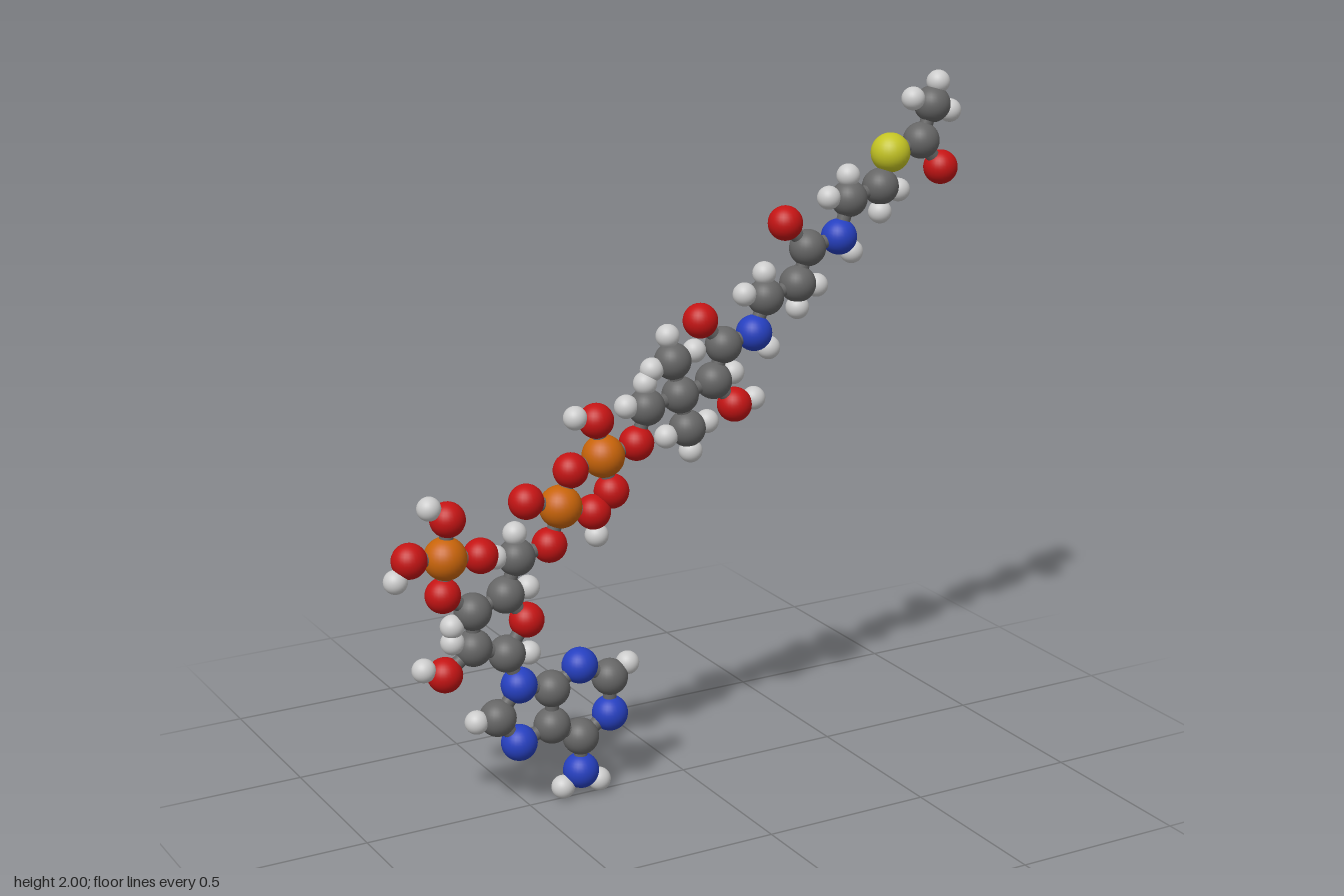
import * as THREE from 'three';

// element: [radius, color]
const ELEMENTS = {
  H: ['hydrogen', 0.034, 0xcccccc],
  C: ['carbon', 0.053, 0x666666],
  N: ['nitrogen', 0.052, 0x2640c0],
  O: ['oxygen', 0.05, 0xc41414],
  P: ['phosphorus', 0.061, 0xc8640a],
  S: ['sulfur', 0.057, 0xc4c424],
};

// Flat molecule: [element, x, y]; the first atom of a part joins it to its neighbours
const PARTS = {
  doubleRingBase: [
    ['N', -0.527, 0.378], ['C', -0.595, 0.292], ['H', -0.66, 0.292], ['N', -0.53, 0.204],
    ['C', -0.426, 0.236], ['C', -0.426, 0.347], ['N', -0.336, 0.4], ['C', -0.241, 0.347],
    ['H', -0.183, 0.379], ['N', -0.241, 0.236], ['C', -0.336, 0.183], ['N', -0.336, 0.078],
    ['H', -0.394, 0.038], ['H', -0.278, 0.038],
  ],
  sugarRing: [
    ['O', -0.5, 0.568], ['C', -0.563, 0.479], ['H', -0.495, 0.469], ['C', -0.664, 0.516],
    ['H', -0.727, 0.542], ['O', -0.752, 0.452], ['H', -0.815, 0.477], ['C', -0.664, 0.622],
    ['H', -0.727, 0.589], ['C', -0.563, 0.654], ['H', -0.495, 0.664], ['C', -0.528, 0.758],
    ['H', -0.532, 0.827], ['H', -0.592, 0.768],
  ],
  sidePhosphate: [
    ['O', -0.752, 0.685], ['P', -0.742, 0.79], ['O', -0.636, 0.78], ['O', -0.732, 0.9],
    ['H', -0.786, 0.939], ['O', -0.848, 0.801], ['H', -0.89, 0.748],
  ],
  doublePhosphate: [
    ['O', -0.426, 0.776], ['P', -0.39, 0.882], ['O', -0.495, 0.913], ['O', -0.288, 0.85],
    ['H', -0.278, 0.78], ['O', -0.357, 0.982], ['P', -0.255, 1.008], ['O', -0.23, 0.902],
    ['O', -0.276, 1.113], ['H', -0.341, 1.13],
  ],
  branchedSegment: [
    ['O', -0.15, 1.03], ['C', -0.118, 1.13], ['H', -0.182, 1.14], ['H', -0.122, 1.199],
    ['C', -0.01, 1.151], ['C', -0.034, 1.252], ['H', -0.05, 1.326], ['H', 0.035, 1.273],
    ['H', -0.1, 1.236], ['C', 0.013, 1.05], ['H', 0.077, 1.061], ['H', 0.024, 0.982],
    ['H', -0.055, 1.035], ['C', 0.098, 1.178], ['H', 0.16, 1.193], ['O', 0.167, 1.098],
    ['H', 0.23, 1.108], ['C', 0.13, 1.278], ['O', 0.055, 1.357],
  ],
  middleSegment: [
    ['N', 0.23, 1.3], ['H', 0.278, 1.251], ['C', 0.267, 1.4], ['H', 0.262, 1.469],
    ['H', 0.198, 1.415], ['C', 0.373, 1.426], ['H', 0.373, 1.357], ['H', 0.436, 1.415],
    ['C', 0.405, 1.527], ['O', 0.33, 1.606],
  ],
  upperSegment: [
    ['N', 0.51, 1.548], ['H', 0.553, 1.5], ['C', 0.542, 1.655], ['H', 0.538, 1.722],
    ['H', 0.474, 1.664], ['C', 0.648, 1.68], ['H', 0.648, 1.606], ['H', 0.71, 1.664],
  ],
  tipSegment: [
    ['S', 0.68, 1.775], ['C', 0.785, 1.801], ['O', 0.855, 1.717], ['C', 0.82, 1.903],
    ['H', 0.839, 1.966], ['H', 0.754, 1.924], ['H', 0.881, 1.88],
  ],
};

const BOND_RADIUS = 0.02;

// Neighbours closer than a bond length are joined
function bonded(a, b) {
  if (a.part !== b.part && !a.joint && !b.joint) return false;
  if (a.el === b.el && 'HO'.includes(a.el)) return false;
  const reach = a.el === 'H' || b.el === 'H' ? 0.082 : 0.125;
  return a.pos.distanceTo(b.pos) < reach;
}

export function createModel() {
  const model = new THREE.Group();
  model.name = 'moleculeModel';

  const kit = {};
  for (const [el, [name, radius, color]] of Object.entries(ELEMENTS)) {
    kit[el] = {
      name,
      geometry: new THREE.SphereGeometry(radius, 28, 18),
      material: new THREE.MeshStandardMaterial({ color }),
    };
  }

  // Atoms
  const atoms = [];
  for (const [part, list] of Object.entries(PARTS)) {
    const group = new THREE.Group();
    group.name = part;
    model.add(group);
    list.forEach(([el, x, y], i) => {
      const { name, geometry, material } = kit[el];
      const ball = new THREE.Mesh(geometry, material);
      ball.name = name + 'Atom';
      ball.position.set(x, y, 0);
      group.add(ball);
      atoms.push({ el, part, joint: i === 0, pos: ball.position });
    });
  }

  // Bonds
  const bonds = new THREE.Group();
  bonds.name = 'bonds';
  model.add(bonds);
  const rod = new THREE.CylinderGeometry(BOND_RADIUS, BOND_RADIUS, 1, 14, 1, true);
  const up = new THREE.Vector3(0, 1, 0);
  atoms.forEach((a, i) => {
    for (const b of atoms.slice(i + 1)) {
      if (!bonded(a, b)) continue;
      const span = b.pos.clone().sub(a.pos);
      const bond = new THREE.Mesh(rod, kit.C.material);
      bond.name = 'bond';
      bond.scale.y = span.length();
      bond.position.copy(a.pos).addScaledVector(span, 0.5);
      bond.quaternion.setFromUnitVectors(up, span.normalize());
      bonds.add(bond);
    }
  });

  return model;
}
